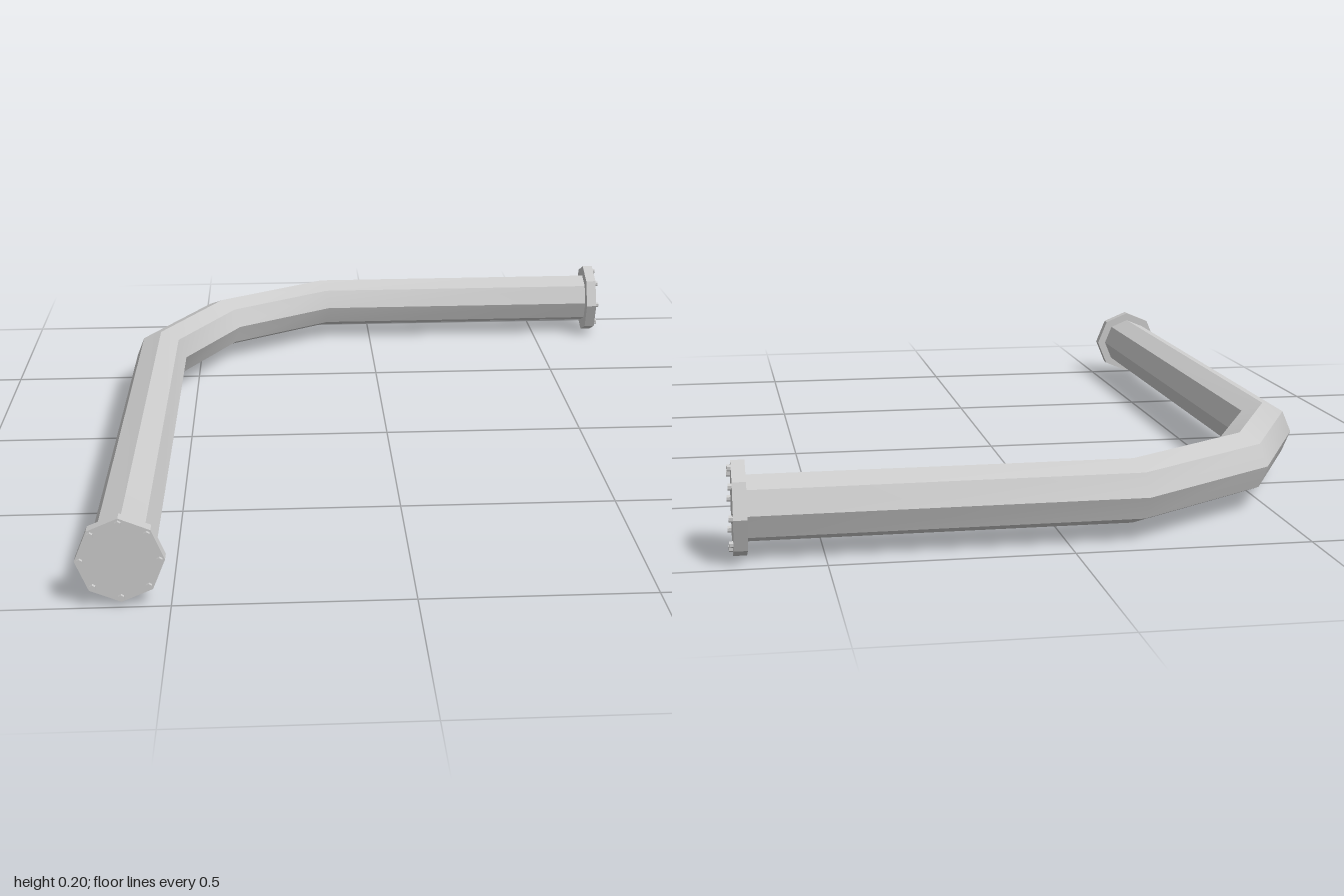
import * as THREE from 'three';

const SIDES = 8;
const PIPE_RADIUS = 0.069;
const AXIS_Y = 0.102;

// Octagonal pipe: crisp long edges, shading smoothed along each side through the bends
function pipeGeometry(path, radius) {
  const up = new THREE.Vector3(0, 1, 0);
  const rings = path.map((p, i) => {
    const dir = new THREE.Vector3();
    if (i > 0) dir.add(p.clone().sub(path[i - 1]).normalize());
    if (i < path.length - 1) dir.add(path[i + 1].clone().sub(p).normalize());
    const side = up.clone().cross(dir).normalize();
    return Array.from({ length: SIDES + 1 }, (_, k) => {
      const a = (k / SIDES) * Math.PI * 2;
      return p.clone()
        .addScaledVector(side, radius * Math.cos(a))
        .addScaledVector(up, radius * Math.sin(a));
    });
  });
  const positions = [];
  const index = [];
  for (let k = 0; k < SIDES; k++) {
    rings.forEach((ring, i) => {
      const n = positions.length / 3;
      positions.push(...ring[k].toArray(), ...ring[k + 1].toArray());
      if (i < rings.length - 1) index.push(n, n + 1, n + 2, n + 1, n + 3, n + 2);
    });
  }
  const geometry = new THREE.BufferGeometry();
  geometry.setAttribute('position', new THREE.Float32BufferAttribute(positions, 3));
  geometry.setIndex(index);
  geometry.computeVertexNormals();
  return geometry;
}

// Flange plate facing +z with a ring of bolt heads; its back is at z = 0
function makeFlange(name, radius, thickness, boltRing, material) {
  const group = new THREE.Group();
  group.name = name;
  const plate = new THREE.Mesh(
    new THREE.CylinderGeometry(radius, radius, thickness, SIDES).rotateX(Math.PI / 2), material);
  plate.name = 'flangePlate';
  plate.position.z = thickness / 2;
  group.add(plate);

  const boltGeometry = new THREE.CylinderGeometry(0.007, 0.007, 0.014, 6).rotateX(Math.PI / 2);
  for (let i = 0; i < 8; i++) {
    const a = (i / 8) * Math.PI * 2;
    const bolt = new THREE.Mesh(boltGeometry, material);
    bolt.name = 'bolt';
    bolt.position.set(boltRing * Math.cos(a), boltRing * Math.sin(a), thickness + 0.001);
    group.add(bolt);
  }
  return group;
}

export function createModel() {
  const model = new THREE.Group();
  model.name = 'bentPipe';
  const smooth = new THREE.MeshStandardMaterial({ color: 0xcccccc, side: THREE.DoubleSide });
  const flat = new THREE.MeshStandardMaterial({ color: 0xcccccc, flatShading: true });

  // Pipe with three bends
  const path = [
    [-0.6, 0.98], [-0.594, -0.38], [-0.437, -0.693], [-0.143, -0.897], [0.67, -0.904],
  ].map(([x, z]) => new THREE.Vector3(x, AXIS_Y, z));
  const pipe = new THREE.Mesh(pipeGeometry(path, PIPE_RADIUS), smooth);
  pipe.name = 'pipe';
  model.add(pipe);

  // Front flange
  const front = makeFlange('frontFlange', 0.091, 0.028, 0.08, flat);
  front.position.set(-0.6, AXIS_Y, 0.964);
  model.add(front);

  // Side flange, slightly larger
  const side = makeFlange('sideFlange', 0.099, 0.028, 0.083, flat);
  side.position.set(0.655, AXIS_Y, -0.901);
  side.rotation.y = Math.PI / 2;
  model.add(side);

  return model;
}
